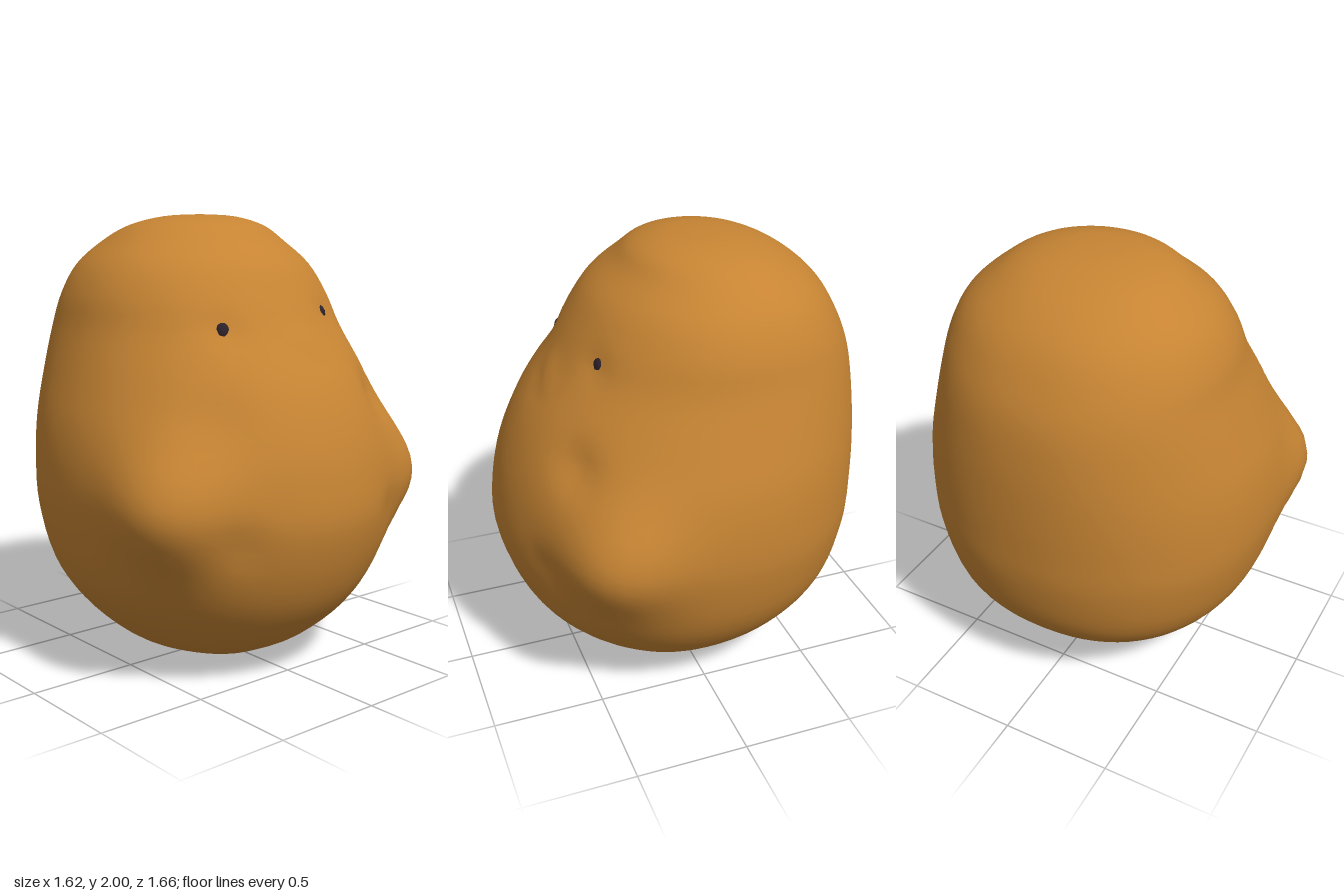
import * as THREE from 'three';
import { mergeVertices } from 'three/addons/utils/BufferGeometryUtils.js';

// Body cross-sections: height, half width, front z, back z, z of widest point
const ROWS = [
  [0, 0, 0.12, 0.12, 0.12],
  [0.01, 0.14, 0.22, -0.06, 0.08],
  [0.05, 0.3, 0.32, -0.31, 0.02],
  [0.13, 0.46, 0.47, -0.46, 0.01],
  [0.28, 0.62, 0.64, -0.63, 0],
  [0.46, 0.73, 0.75, -0.76, 0],
  [0.7, 0.79, 0.82, -0.82, 0],
  [0.9, 0.8, 0.81, -0.83, 0],
  [1.1, 0.775, 0.76, -0.83, -0.03],
  [1.3, 0.715, 0.67, -0.82, -0.08],
  [1.5, 0.65, 0.53, -0.79, -0.13],
  [1.65, 0.61, 0.44, -0.73, -0.14],
  [1.78, 0.54, 0.35, -0.65, -0.15],
  [1.88, 0.43, 0.23, -0.54, -0.14],
  [1.95, 0.32, 0.15, -0.41, -0.13],
  [1.99, 0.17, 0.03, -0.26, -0.11],
  [2, 0, -0.11, -0.11, -0.11],
];

// Soft swellings and dents: centre, radius, outward amount
const BUMPS = [
  [0.68, 0.84, 0.47, 0.24, 0.12], // arms
  [-0.68, 0.82, 0.48, 0.24, 0.13],
  [0.45, 1.2, 0.56, 0.1, -0.035], // folds above and beside the arms
  [-0.45, 1.15, 0.58, 0.14, -0.015],
  [0.42, 0.72, 0.7, 0.1, -0.02],
  [-0.45, 0.68, 0.68, 0.1, -0.02],
  [0.03, 1.46, 0.55, 0.05, 0.015], // nose
  [0.03, 1.4, 0.6, 0.04, -0.012],
  [-0.3, 1.5, 0.41, 0.07, -0.02], // eye sockets
  [0.27, 1.55, 0.39, 0.07, -0.02],
];

function bodyGeometry() {
  const curve = (pick) => new THREE.CatmullRomCurve3(ROWS.map(pick), false, 'catmullrom', 0.5);
  const sideCurve = curve(([y, w, f]) => new THREE.Vector3(w, y, f));
  const backCurve = curve(([y, , , b, c]) => new THREE.Vector3(c, y, b));

  let geo = new THREE.SphereGeometry(1, 72, 64);
  const pos = geo.attributes.position;
  const uv = geo.attributes.uv;
  const p = new THREE.Vector3();
  const centre = new THREE.Vector3();
  const out = new THREE.Vector3();
  for (let i = 0; i < pos.count; i++) {
    const t = THREE.MathUtils.clamp(uv.getY(i), 0, 1);
    const s = sideCurve.getPoint(t);
    const b = backCurve.getPoint(t);
    const angle = Math.atan2(pos.getZ(i), pos.getX(i));
    const cos = Math.cos(angle);
    const sin = Math.sin(angle);
    // slightly squared ellipse behind, plain ellipse in front
    const power = sin < 0 ? 0.93 : 1;
    const bend = (v) => Math.sign(v) * Math.abs(v) ** power;
    const depth = sin < 0 ? b.x - b.z : s.z - b.x;
    p.set(s.x * bend(cos), s.y, b.x + depth * bend(sin));
    out.set(p.x, (p.y - 0.9) * 0.4, p.z).normalize();
    let push = 0;
    for (const [x, y, z, r, amount] of BUMPS) {
      const d = p.distanceTo(centre.set(x, y, z)) / r;
      push += amount * Math.exp(-d * d);
    }
    p.addScaledVector(out, push);
    pos.setXYZ(i, p.x, p.y, p.z);
  }
  // weld the seam so the shading runs smoothly round
  geo.deleteAttribute('uv');
  geo.deleteAttribute('normal');
  geo = mergeVertices(geo, 1e-4);
  geo.computeVertexNormals();
  return geo;
}

export function createModel() {
  const skin = new THREE.MeshStandardMaterial({ color: 0xc68433 });
  skin.name = 'golden brown';
  const dark = new THREE.MeshStandardMaterial({ color: 0x2c2129 });
  dark.name = 'dark eye';

  const model = new THREE.Group();
  model.name = 'model';

  const body = new THREE.Mesh(bodyGeometry(), skin);
  body.name = 'body';
  model.add(body);

  // Small beady eyes
  const eyeGeo = new THREE.SphereGeometry(1, 10, 8);
  for (const [name, x, y, z] of [['rightEye', -0.3, 1.51, 0.4], ['leftEye', 0.265, 1.56, 0.385]]) {
    const eye = new THREE.Mesh(eyeGeo, dark);
    eye.name = name;
    eye.position.set(x, y, z);
    eye.scale.set(0.038, 0.046, 0.035);
    model.add(eye);
  }
  return model;
}
